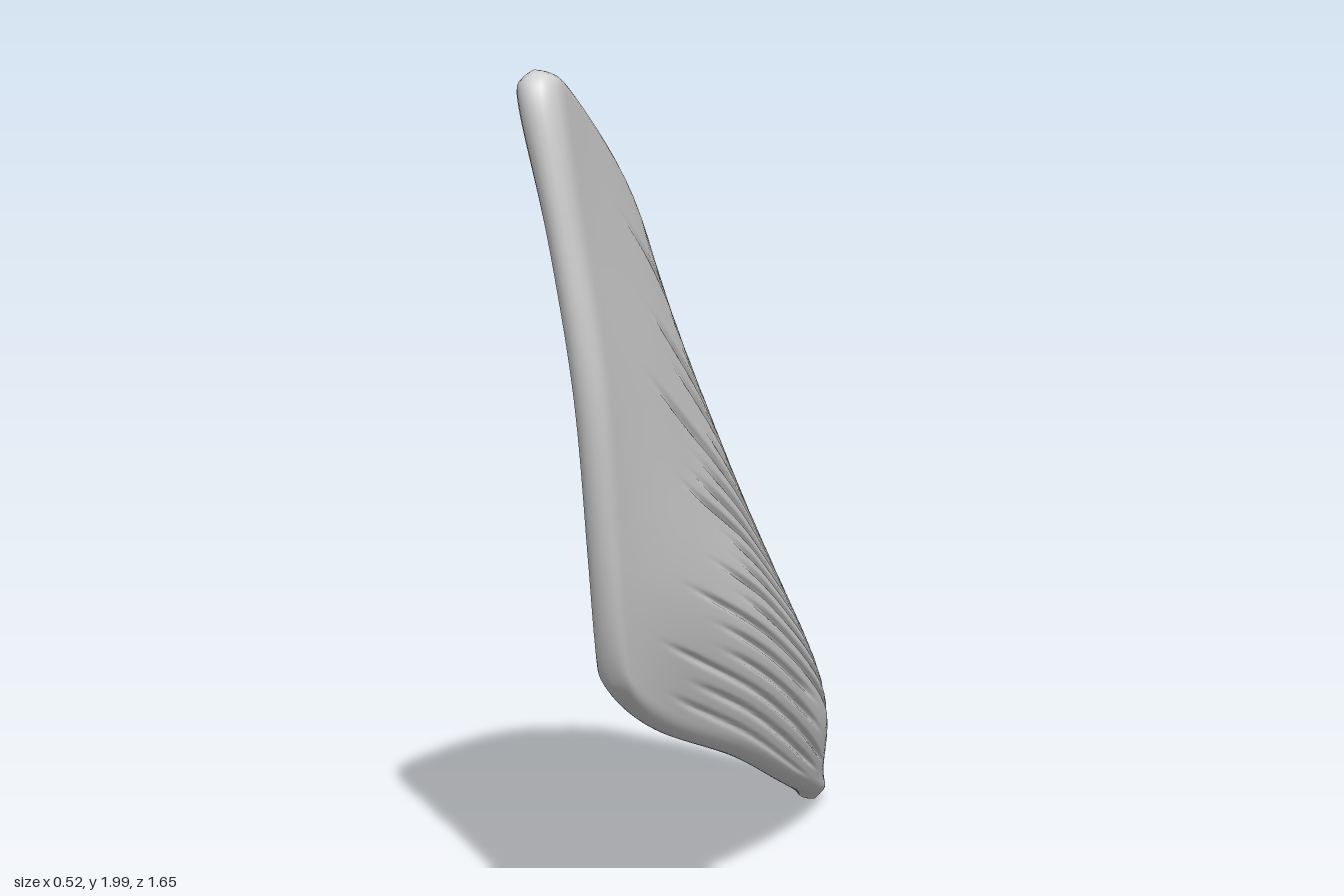
import * as THREE from 'three';
import { mergeVertices } from 'three/addons/utils/BufferGeometryUtils.js';

// Centre lines of the fin, lower edge to upper edge; each runs from root to outer rim
const rays = [
  [[0.205, 0.00, -0.75], [0.185, 0.18, -0.38], [0.14, 0.38, 0.00], [0.06, 0.575, 0.40], [0.01, 0.735, 0.65]],
  [[0.16, 0.07, -0.785], [0.23, 0.31, -0.49], [0.195, 0.61, -0.02], [0.11, 0.86, 0.41], [0.005, 1.06, 0.735]],
  [[0.04, 0.17, -0.815], [0.17, 0.45, -0.525], [0.14, 0.83, -0.06], [0.075, 1.13, 0.40], [-0.005, 1.41, 0.80]],
  [[-0.11, 0.215, -0.80], [0.04, 0.56, -0.56], [0.05, 1.03, -0.13], [0.02, 1.40, 0.33], [-0.05, 1.74, 0.825]],
  [[-0.26, 0.24, -0.765], [-0.16, 0.61, -0.575], [-0.085, 1.165, -0.19], [-0.068, 1.64, 0.23], [-0.11, 2.07, 0.83]],
].map((ray) => new THREE.CatmullRomCurve3(ray.map((p) => new THREE.Vector3(...p)), false, 'catmullrom', 0.5));

const U = 44, V = 220, GROOVES = 24;
const { clamp, smoothstep: smooth } = THREE.MathUtils;
const noise = (k) => { const s = Math.sin(k * 91.7 + 3.1) * 437.5; return s - Math.floor(s); };

// Steps along and across the fin get finer towards the rim
const stepU = (t) => (1 - Math.cos(Math.PI * t)) / 2;
function stepV(t) {
  const e = Math.min(t, 1 - t);
  const v = e < 0.04 ? e * e / 0.04 : e;
  return t < 0.5 ? v : 1 - v;
}

// Draws the corners in so that the outline is rounded there
const cutCorner = (a, b, amount) => 0.5 + (a - 0.5) * (1 - amount * Math.abs(2 * b - 1) ** 12);

const rounded = (distance, radius) => {
  const a = 1 - clamp(distance / radius, 0, 1);
  return Math.sqrt(1 - a * a);
};

// Narrow grooves that follow the rays, each with its own start and end
function groove(u, v) {
  const s = v * GROOVES + 0.25 * Math.sin(u * 5 + v * 9);
  const k = Math.floor(s);
  const d = (s - k - 0.5) / 0.14;
  const start = 0.1 + 0.22 * noise(k), end = 0.62 + 0.24 * noise(k + 40);
  const along = smooth(u, start, start + 0.1) * (1 - smooth(u, end - 0.15, end));
  const across = smooth(v, 0.03, 0.08) * (1 - smooth(v, 0.84, 0.9));
  return 0.011 * Math.exp(-d * d) * along * across;
}

function halfThickness(u, v, width) {
  const base = 0.035 + 0.01 * smooth(v, 0.7, 1);
  const rim = rounded(Math.min(v, 1 - v) * width, 0.045) * rounded(Math.min(u, 1 - u) * 1.8, 0.045);
  return (base - groove(u, v)) * rim;
}

const sectionAt = (u) =>
  new THREE.CatmullRomCurve3(rays.map((r) => r.getPoint(u)), false, 'catmullrom', 0.5);

function finGeometry() {
  // Centre surface, with rounder corners at the outer rim than at the root
  const grid = [];
  for (let i = 0; i <= U; i++) {
    const u = stepU(i / U);
    const amount = 0.012 + 0.038 * u;
    const row = [];
    for (let j = 0; j <= V; j++) {
      const v = stepV(j / V);
      row.push(sectionAt(cutCorner(u, v, amount)).getPoint(cutCorner(v, u, amount)));
    }
    grid.push({ u, row, width: sectionAt(u).getLength() });
  }
  // Two skins, offset to either side of the centre surface and joined at the rim
  const positions = [], index = [];
  for (const side of [1, -1]) {
    const first = positions.length / 3;
    for (let i = 0; i <= U; i++) {
      const { u, row, width } = grid[i];
      for (let j = 0; j <= V; j++) {
        const du = grid[Math.min(i + 1, U)].row[j].clone().sub(grid[Math.max(i - 1, 0)].row[j]);
        const dv = row[Math.min(j + 1, V)].clone().sub(row[Math.max(j - 1, 0)]);
        const normal = dv.cross(du).normalize();
        const offset = side * halfThickness(u, stepV(j / V), width);
        positions.push(...row[j].clone().addScaledVector(normal, offset).toArray());
      }
    }
    for (let i = 0; i < U; i++) {
      for (let j = 0; j < V; j++) {
        const a = first + i * (V + 1) + j, b = a + 1, c = a + V + 1, d = c + 1;
        if (side > 0) index.push(a, b, c, b, d, c);
        else index.push(a, c, b, b, c, d);
      }
    }
  }
  const skins = new THREE.BufferGeometry();
  skins.setAttribute('position', new THREE.Float32BufferAttribute(positions, 3));
  skins.setIndex(index);
  const geometry = mergeVertices(skins, 1e-5);
  geometry.computeVertexNormals();
  return geometry;
}

export function createModel() {
  const group = new THREE.Group();
  group.name = 'fin';
  const paleGrey = new THREE.MeshStandardMaterial({ color: 0xd2d2d2 });
  paleGrey.name = 'paleGrey';

  const blade = new THREE.Mesh(finGeometry(), paleGrey);
  blade.name = 'finBlade';
  group.add(blade);
  return group;
}
